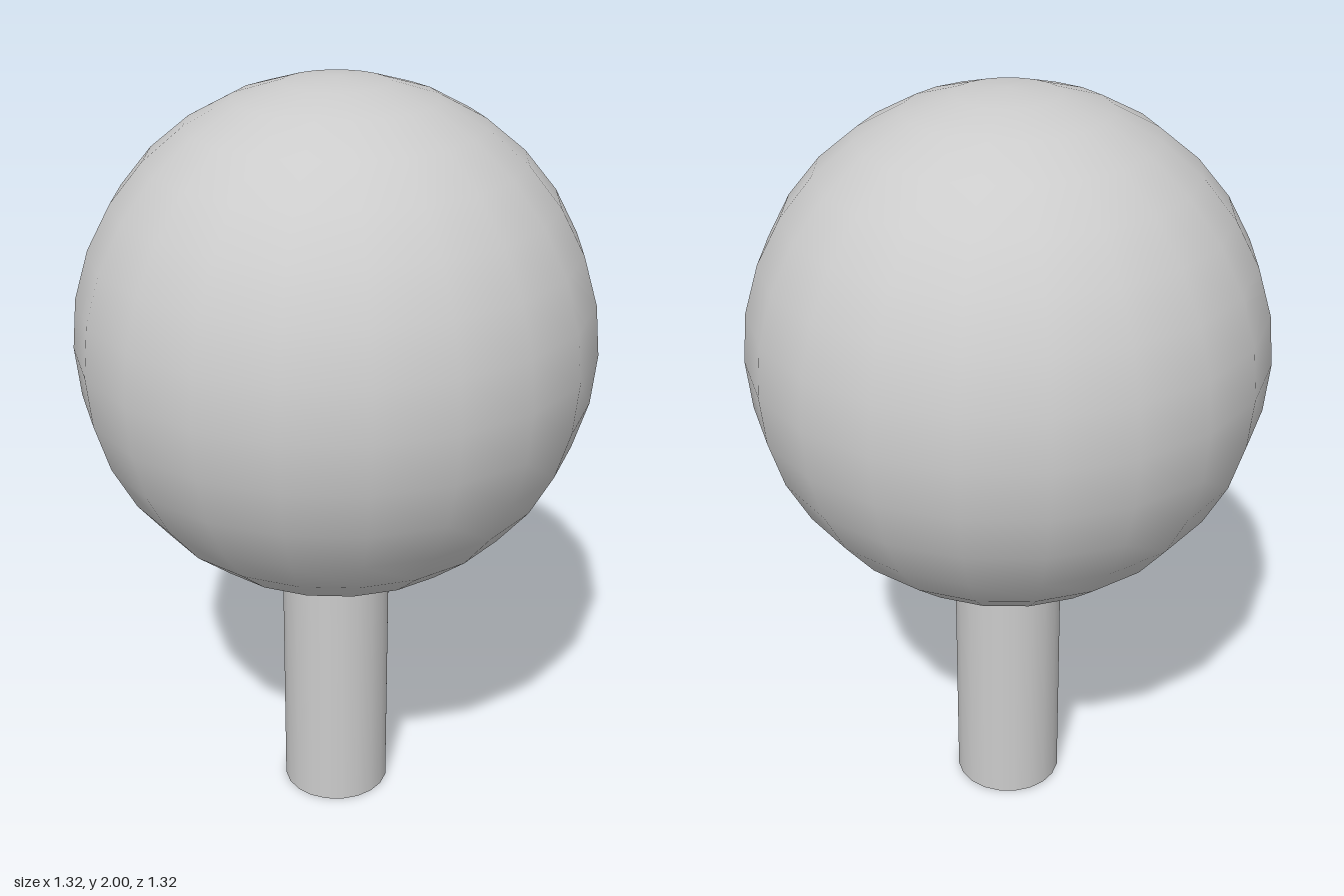
import * as THREE from 'three';

const SIDES = 20;

function addPart(group, name, geometry, y) {
  const mesh = new THREE.Mesh(geometry, new THREE.MeshStandardMaterial({ color: 0xcccccc }));
  mesh.name = name;
  mesh.position.y = y;
  group.add(mesh);
}

export function createModel() {
  const model = new THREE.Group();
  model.name = 'ballTree';

  // Round crown, smooth shaded with a 20-sided outline
  const crownRadius = 0.66;
  addPart(model, 'crown', new THREE.SphereGeometry(crownRadius, SIDES, 16), 2 - crownRadius);

  // Straight trunk, its top sunk just inside the crown
  const trunkHeight = 0.71;
  addPart(model, 'trunk', new THREE.CylinderGeometry(0.145, 0.145, trunkHeight, SIDES), trunkHeight / 2);

  return model;
}
